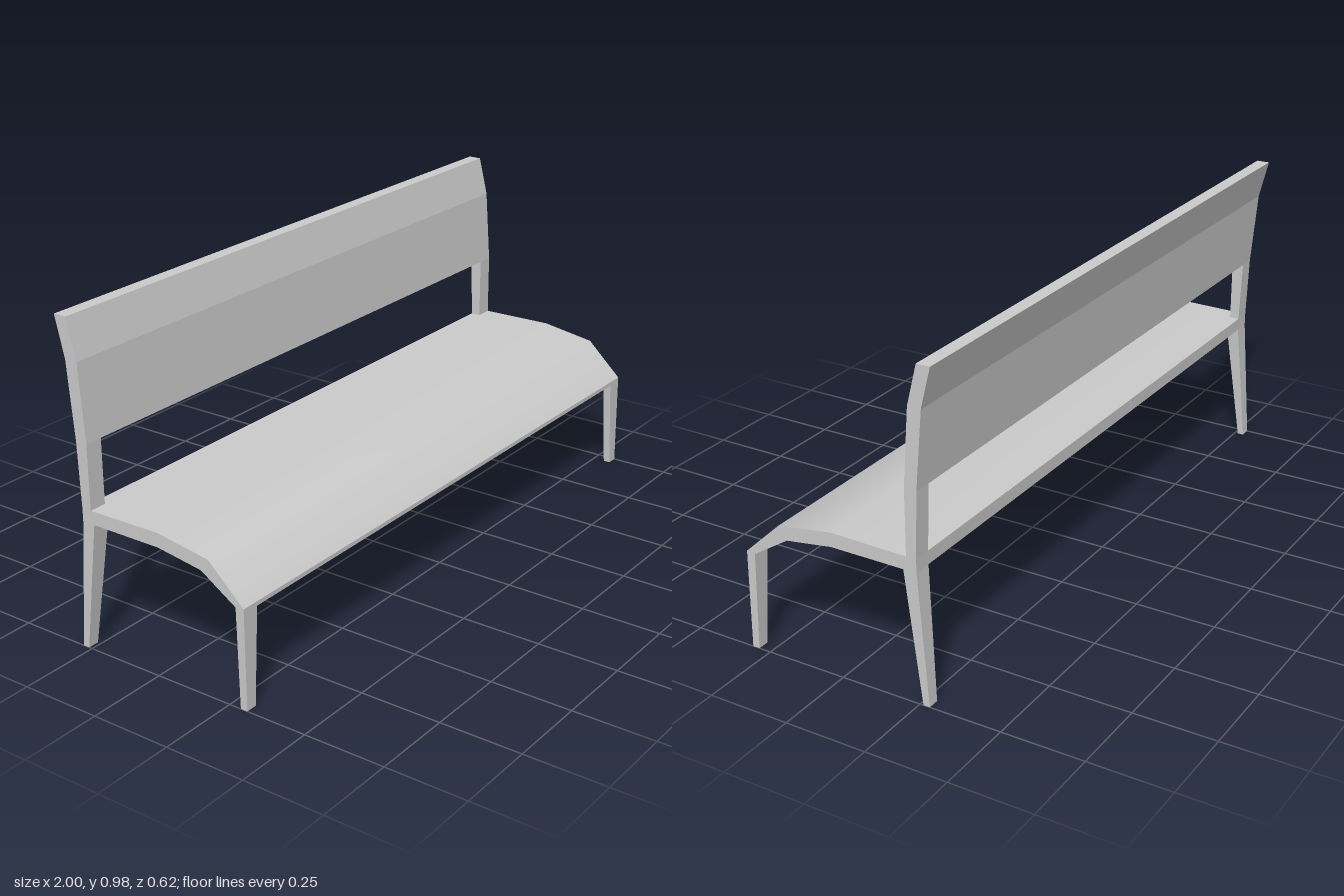
import * as THREE from 'three';
import { toCreasedNormals } from 'three/addons/utils/BufferGeometryUtils.js';

const material = new THREE.MeshStandardMaterial({ color: 0xcccccc });

function part(name, geometry) {
  const mesh = new THREE.Mesh(geometry, material);
  mesh.name = name;
  return mesh;
}

// Side profile of [z, y] points, run along the whole width of the bench
function plank(profile) {
  const shape = new THREE.Shape(profile.map(([z, y]) => new THREE.Vector2(-z, y)));
  const geometry = new THREE.ExtrudeGeometry(shape, { depth: 2, bevelEnabled: false });
  return geometry.translate(0, 0, -1).rotateY(Math.PI / 2);
}

// Tapered post flush with the bench end; each end gives y, back z, front z and inner x
function post(side, top, bottom) {
  const geometry = new THREE.BoxGeometry(1, 1, 1).toNonIndexed();
  const pos = geometry.attributes.position;
  for (let i = 0; i < pos.count; i++) {
    const end = pos.getY(i) > 0 ? top : bottom;
    const x = pos.getX(i) * side > 0 ? side : side * end.inner;
    pos.setXYZ(i, x, end.y, pos.getZ(i) > 0 ? end.front : end.back);
  }
  geometry.computeVertexNormals();
  return geometry;
}

export function createModel() {
  const bench = new THREE.Group();
  bench.name = 'bench';

  // Seat curving down at the front, smooth over its bends
  const seat = plank([
    [0.308, 0.29], [0.308, 0.303], [0.193, 0.411], [0.02, 0.438], [-0.22, 0.435],
    [-0.251, 0.435], [-0.251, 0.395], [-0.21, 0.395], [0.02, 0.395],
    [0.167, 0.373], [0.281, 0.3], [0.283, 0.29],
  ]);
  bench.add(part('seat', toCreasedNormals(seat, 0.7)));

  // Backrest in two flat facets leaning backward
  bench.add(part('backrest', plank([
    [-0.22, 0.63], [-0.237, 0.86], [-0.267, 0.98],
    [-0.308, 0.98], [-0.278, 0.86], [-0.258, 0.63],
  ])));

  // Legs and back posts at both ends
  for (const [side, label] of [[1, 'left'], [-1, 'right']]) {
    bench.add(part(label + 'FrontLeg', post(side,
      { y: 0.3, back: 0.281, front: 0.308, inner: 0.945 },
      { y: 0, back: 0.288, front: 0.31, inner: 0.965 })));
    bench.add(part(label + 'BackLeg', post(side,
      { y: 0.395, back: -0.251, front: -0.21, inner: 0.945 },
      { y: 0, back: -0.281, front: -0.261, inner: 0.965 })));
    bench.add(part(label + 'BackPost', post(side,
      { y: 0.63, back: -0.258, front: -0.22, inner: 0.945 },
      { y: 0.435, back: -0.251, front: -0.22, inner: 0.945 })));
  }
  return bench;
}
